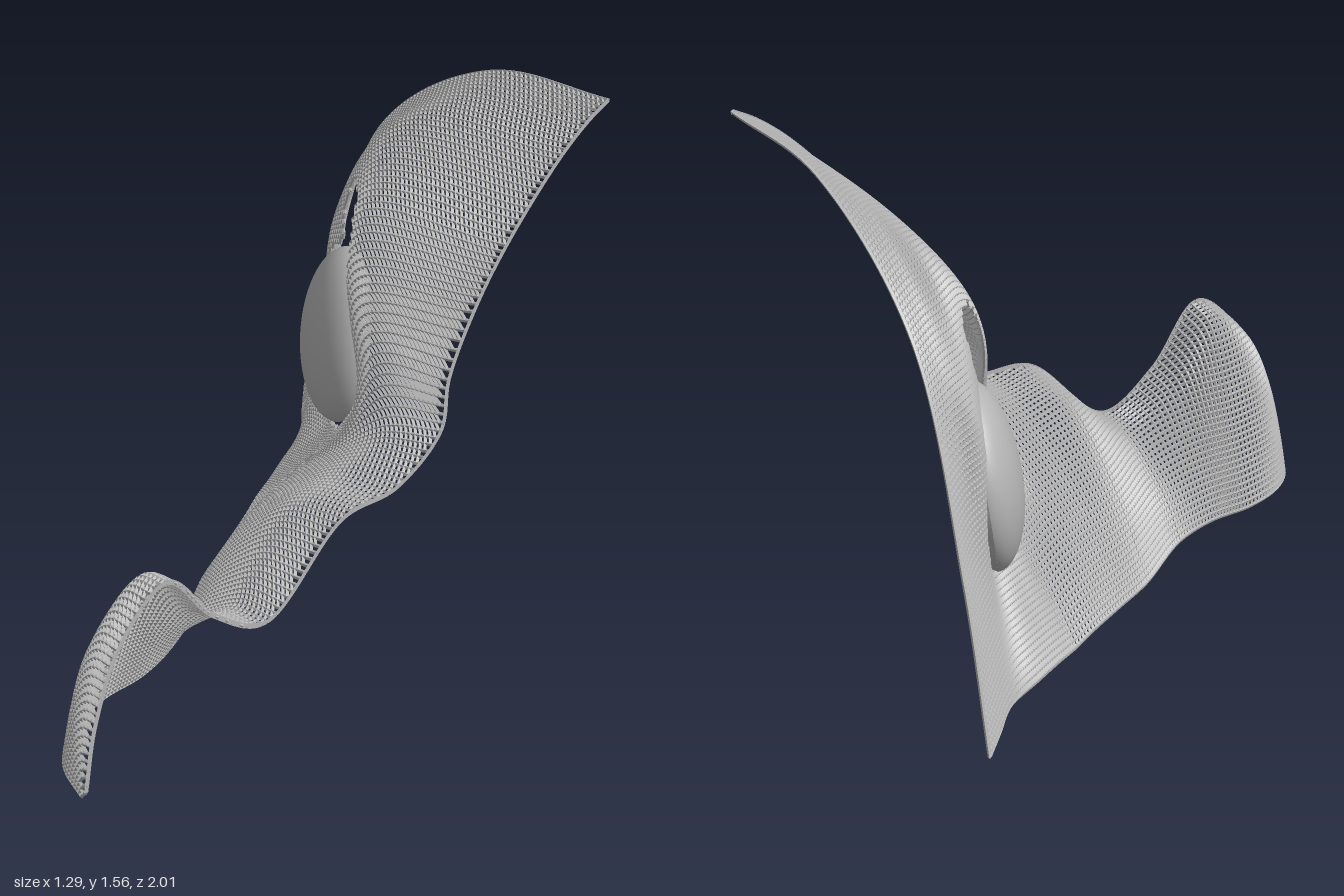
import * as THREE from 'three';
import { mergeGeometries } from 'three/addons/utils/BufferGeometryUtils.js';

const PITCH = 0.0195;  // spacing of the wires
const WIRE = 0.006;    // half diagonal of a wire
const MID = 0.64;      // x of the cut along the middle of the face

// Cross-sections, bottom edge to middle: [zBottom, zMiddle, x0, x1,y1, x2,y2, x3,y3, yMiddle]
const SNOUT = [
  [1.0, 1.0, 0.62, 0.625, 0.01, 0.63, 0.015, 0.635, 0.02, 0.025],
  [0.95, 0.96, 0.48, 0.51, 0.1, 0.55, 0.19, 0.59, 0.23, 0.245],
  [0.83, 0.86, 0.365, 0.41, 0.18, 0.47, 0.35, 0.55, 0.46, 0.48],
  [0.66, 0.7, 0.30, 0.37, 0.2, 0.44, 0.4, 0.53, 0.57, 0.605],
  [0.5, 0.52, 0.285, 0.34, 0.12, 0.42, 0.25, 0.52, 0.37, 0.41],
  [0.32, 0.32, 0.22, 0.3, 0.12, 0.4, 0.21, 0.51, 0.28, 0.30],
  [0.03, 0.03, 0.02, 0.14, 0.19, 0.27, 0.34, 0.43, 0.47, 0.53],
];
const HEAD = [
  [-0.14, -0.19, -0.07, 0.08, 0.22, 0.24, 0.38, 0.43, 0.51, 0.548],
  [-0.29, -0.36, -0.15, 0.04, 0.24, 0.22, 0.42, 0.42, 0.59, 0.67],
  [-0.41, -0.385, -0.22, 0.02, 0.25, 0.205, 0.48, 0.33, 0.75, 0.84],
  [-0.5, -0.48, -0.265, -0.01, 0.26, 0.16, 0.53, 0.13, 0.86, 1.04],
  [-0.62, -0.6, -0.33, -0.1, 0.27, -0.03, 0.66, 0.0, 1.05, 1.21],
  [-0.78, -0.8, -0.42, -0.33, 0.37, -0.295, 0.83, -0.05, 1.26, 1.42],
  [-0.9, -0.92, -0.54, -0.43, 0.45, -0.3, 1.02, 0.07, 1.39, 1.51],
  [-1.0, -1.0, -0.64, -0.53, 0.48, -0.3, 1.12, 0.16, 1.47, 1.55],
];
// Outline of the eye opening, seen from the front
const HOLE = [
  [-0.1, 1.1], [-0.03, 1.07], [0.03, 0.92], [0.09, 0.74], [0.16, 0.6], [0.135, 0.48],
  [0.05, 0.35], [-0.1, 0.27], [-0.24, 0.32], [-0.305, 0.44], [-0.315, 0.62],
  [-0.25, 0.78], [-0.13, 0.88], [-0.18, 0.97], [-0.16, 1.06],
];

function inHole(p) {
  if (p.z > -0.35) return false;
  let inside = false;
  HOLE.forEach(([ax, ay], i) => {
    const [bx, by] = HOLE[(i + 1) % HOLE.length];
    if ((ay > p.y) !== (by > p.y) && p.x < ax + ((p.y - ay) / (by - ay)) * (bx - ax)) inside = !inside;
  });
  return inside;
}

// Points of the sheet: one row per cross wire, evenly spaced along each row
function sheetRows() {
  const stations = [...SNOUT, ...HEAD].map(([z0, z1, x0, x1, y1, x2, y2, x3, y3, y4]) =>
    [[x0, 0], [x1, y1], [x2, y2], [x3, y3], [MID, y4]].map(
      ([x, y], k) => new THREE.Vector3(x, y, z0 + ((z1 - z0) * k) / 4)));
  const columns = [0, 1, 2, 3, 4].map((k) => new THREE.CatmullRomCurve3(stations.map((s) => s[k])));
  const guide = new THREE.CatmullRomCurve3(stations.map(
    (s) => s.reduce((sum, p) => sum.add(p), new THREE.Vector3()).divideScalar(5)));
  const count = Math.round((guide.getLength() * 1.04) / PITCH);
  const rows = [];
  for (let i = 0; i <= count; i++) {
    const t = guide.getUtoTmapping(i / count);
    const section = new THREE.CatmullRomCurve3(columns.map((c) => c.getPoint(t)));
    const length = section.getLength();
    const row = [];
    for (let s = 0; s < length - PITCH * 0.3; s += PITCH) row.push(section.getPointAt(s / length));
    row.push(section.getPointAt(1));
    row.forEach((p) => {
      p.x = Math.min(p.x, MID);
      p.y = Math.max(p.y, 0);
      p.z = THREE.MathUtils.clamp(p.z, -1, 1);
    });
    rows.push(row);
  }
  return rows;
}

const pushQuad = (out, p, q, r, t) => {
  for (const v of [p, q, r, p, r, t]) out.push(v.x, v.y, v.z);
};

// Adds one four-sided wire between two points, n is the sheet normal
function addWire(out, a, b, n) {
  const d = b.clone().sub(a);
  if (d.length() < 1e-4) return;
  d.normalize();
  const s = n.clone().cross(d).normalize();
  const m = d.clone().cross(s);
  const corners = [s, m, s.clone().negate(), m.clone().negate()];
  const at = (p, o) => p.clone().addScaledVector(o, WIRE);
  corners.forEach((c, k) => {
    const e = corners[(k + 1) % 4];
    pushQuad(out, at(a, c), at(a, e), at(b, e), at(b, c));
  });
}

// Adds one piece of the flat band that closes the middle edge
function addBand(out, a, b) {
  const side = new THREE.Vector3(0, b.z - a.z, a.y - b.y).setLength(0.008);
  pushQuad(out, a.clone().sub(side), b.clone().sub(side), b.clone().add(side), a.clone().add(side));
}

function wireMesh(name, positions, material) {
  const g = new THREE.BufferGeometry();
  g.setAttribute('position', new THREE.Float32BufferAttribute(positions, 3));
  g.computeVertexNormals();
  const mesh = new THREE.Mesh(g, material);
  mesh.name = name;
  return mesh;
}

export function createModel() {
  const model = new THREE.Group();
  model.name = 'wireMeshHalfMask';
  const grey = new THREE.MeshStandardMaterial({ color: 0xb4b4b4, side: THREE.DoubleSide });
  grey.name = 'grey';

  // Woven sheet
  const rows = sheetRows();
  const cross = [], along = [], band = [];
  const wire = (out, a, b, n) => { if (!inHole(a) && !inHole(b)) addWire(out, a, b, n); };
  rows.forEach((row, i) => {
    const next = rows[i + 1];
    const other = next || rows[i - 1];
    row.forEach((p, j) => {
      // sheet normal from the neighbouring wires
      const du = other[Math.min(j, other.length - 1)].clone().sub(p);
      const dv = j + 1 < row.length ? row[j + 1].clone().sub(p) : p.clone().sub(row[Math.max(j - 1, 0)]);
      const n = du.cross(dv);
      if (n.lengthSq() < 1e-14) n.set(-0.8, 0.3, 0.5);
      n.normalize();
      if (j + 1 < row.length) wire(cross, p, row[j + 1], n);
      if (next && j < row.length - 1) wire(along, p, next[Math.min(j, next.length - 1)], n);
      if (next && j === row.length - 1) addBand(band, p, next[next.length - 1]);
    });
  });
  model.add(wireMesh('crossWires', cross, grey));
  model.add(wireMesh('lengthwiseWires', along, grey));
  model.add(wireMesh('middleEdgeBand', band, grey));

  // Eye: domed lens in a ribbed oval ring
  const eye = new THREE.Group();
  eye.name = 'eye';
  eye.position.set(-0.095, 0.57, -0.65);
  eye.rotation.set(-0.13, -0.5, 0, 'YXZ');
  const dome = new THREE.SphereGeometry(1, 48, 16, 0, Math.PI * 2, 0, Math.PI / 2);
  dome.rotateX(Math.PI / 2).scale(0.24, 0.29, 0.12);
  const lens = new THREE.Mesh(dome, grey);
  lens.name = 'lens';
  eye.add(lens);

  const collar = new THREE.CylinderGeometry(1, 0.95, 0.022, 48, 1, true);
  collar.rotateX(Math.PI / 2).scale(0.238, 0.288, 1).translate(0, 0, -0.011);
  const ring = new THREE.Mesh(collar, grey);
  ring.name = 'lensRing';
  eye.add(ring);

  const ribs = [];
  for (let k = 0; k < 52; k++) {
    const a = (k / 52) * Math.PI * 2;
    const rib = new THREE.BoxGeometry(0.035, 0.014, 0.02);
    rib.rotateZ(a).translate(Math.cos(a) * 0.209, Math.sin(a) * 0.259, -0.012);
    ribs.push(rib);
  }
  const ribMesh = new THREE.Mesh(mergeGeometries(ribs), grey);
  ribMesh.name = 'ringRibs';
  eye.add(ribMesh);
  model.add(eye);

  return model;
}
